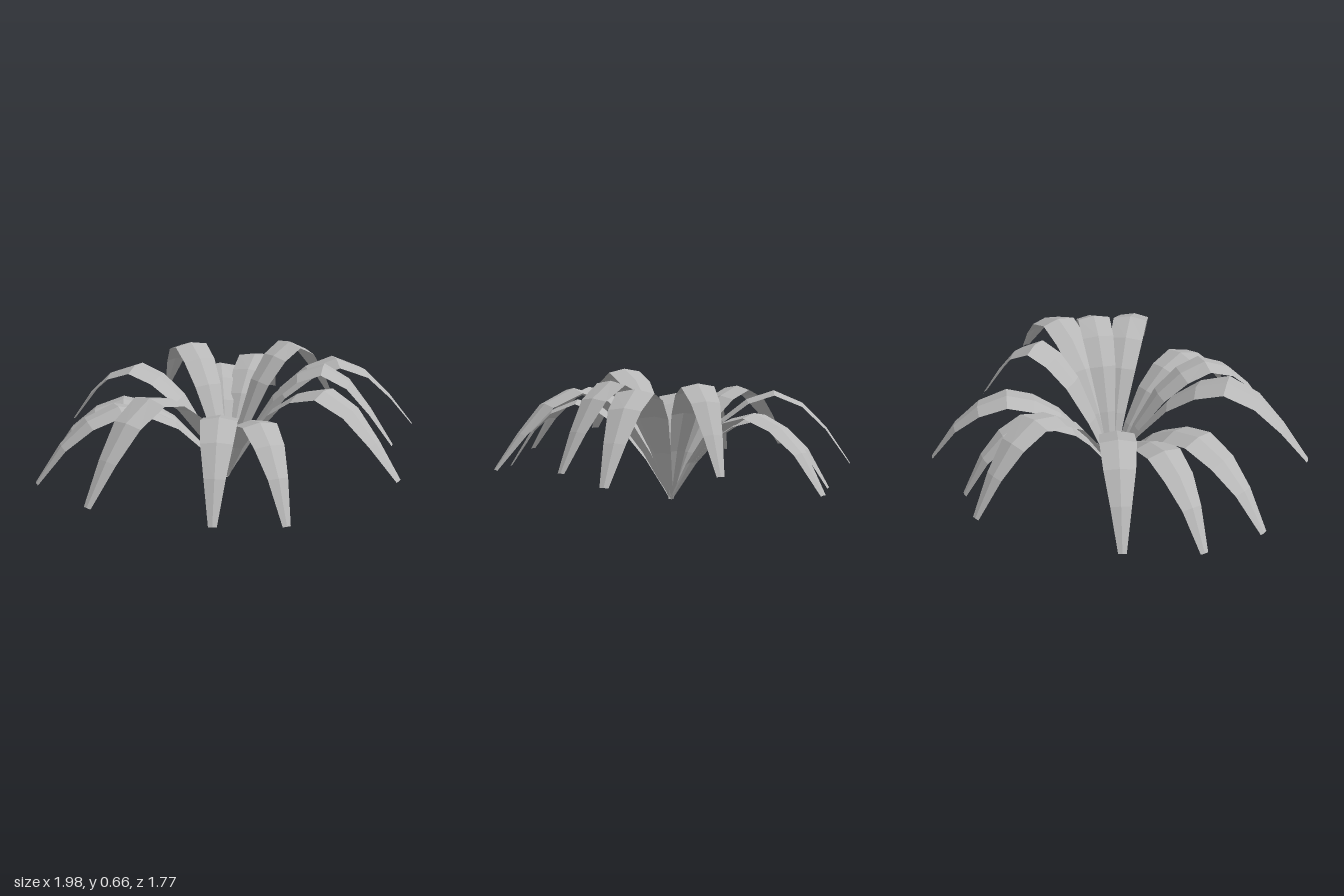
import * as THREE from 'three';

// Leaf stations: fraction of the reach, fraction of the crown height, half width
const STATIONS = [
  [0, 0, 0.012],
  [0.14, 0.42, 0.045],
  [0.28, 0.74, 0.075],
  [0.42, 0.92, 0.09],
  [0.57, 1, 0.093],
  [0.73, 0.89, 0.08],
  [0.865, 0.67, 0.053],
  [1, null, 0.021], // height set by each leaf's tip
];
const RIDGE = 0.2; // drop of the edges below the midrib, per half width
const CENTRE_Z = 0.02;

// Leaves around the plant: tip x, tip z, tip height, crown height
const LEAVES = [
  [-0.18, -0.89, 0.2, 0.575],
  [0.1, -0.81, 0.12, 0.46],
  [0.44, -0.82, 0.15, 0.5],
  [0.67, -0.38, 0.26, 0.65],
  [0.99, 0.07, 0.25, 0.635],
  [0.79, 0.34, 0.265, 0.66],
  [0.7, 0.7, 0.25, 0.615],
  [0.115, 0.87, 0.16, 0.52],
  [-0.23, 0.88, 0.2, 0.565],
  [-0.77, 0.69, 0.25, 0.64],
  [-0.99, 0.22, 0.155, 0.495],
  [-0.92, -0.08, 0.125, 0.46],
  [-0.77, -0.445, 0.195, 0.56],
];

// Arched strip along +x with a raised midrib
function leafGeometry(reach, tipY, crownY) {
  const rib = STATIONS.map(([u, h]) => new THREE.Vector2(u * reach, h === null ? tipY : h * crownY));
  const positions = [];
  const index = [];
  rib.forEach((p, i) => {
    const half = STATIONS[i][2] * (0.5 + 0.5 * reach);
    const before = rib[Math.max(i - 1, 0)];
    const after = rib[Math.min(i + 1, rib.length - 1)];
    const along = after.clone().sub(before).normalize();
    const drop = half * RIDGE;
    for (const side of [-1, 0, 1]) {
      const d = side === 0 ? 0 : drop;
      positions.push(p.x + along.y * d, Math.max(0, p.y - along.x * d), side * half);
    }
    if (i === 0) return;
    for (let j = 0; j < 2; j++) {
      const a = (i - 1) * 3 + j;
      const b = i * 3 + j;
      index.push(a, a + 1, b, b, a + 1, b + 1);
    }
  });
  const indexed = new THREE.BufferGeometry();
  indexed.setAttribute('position', new THREE.Float32BufferAttribute(positions, 3));
  indexed.setIndex(index);
  const geometry = indexed.toNonIndexed();
  geometry.computeVertexNormals();
  return geometry;
}

export function createModel() {
  const model = new THREE.Group();
  model.name = 'rosettePlant';
  const leafGrey = new THREE.MeshStandardMaterial({
    color: 0xb8b8b8,
    flatShading: true,
    side: THREE.DoubleSide,
  });
  leafGrey.name = 'leafGrey';

  // All leaves spring from one point at the ground
  LEAVES.forEach(([x, z, tipY, crownY], i) => {
    const dz = z - CENTRE_Z;
    const leaf = new THREE.Mesh(leafGeometry(Math.hypot(x, dz), tipY, crownY), leafGrey);
    leaf.name = `leaf${i + 1}`;
    leaf.position.z = CENTRE_Z;
    leaf.rotation.y = Math.atan2(-dz, x);
    model.add(leaf);
  });
  return model;
}
